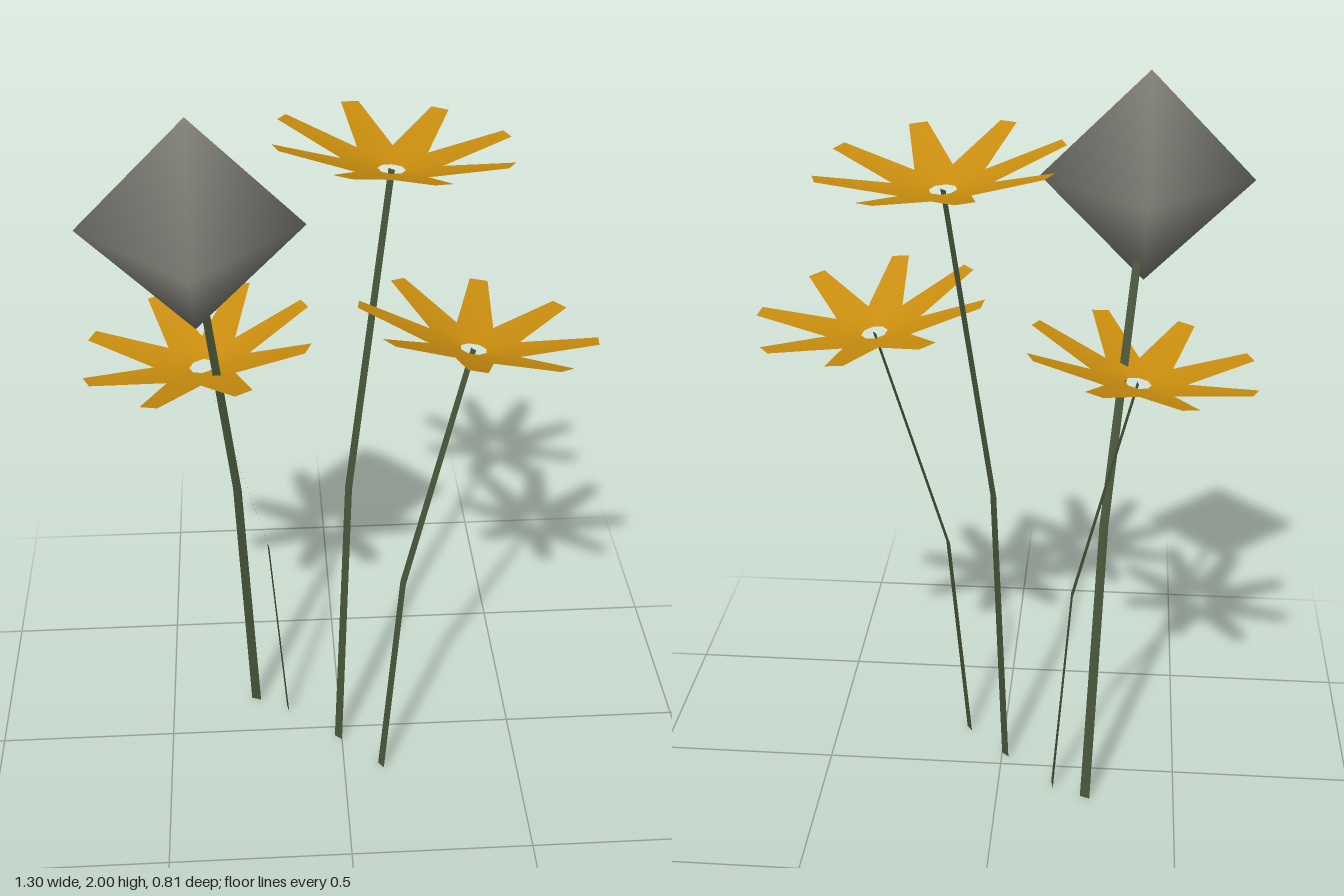
import * as THREE from 'three';
import { mergeVertices } from 'three/addons/utils/BufferGeometryUtils.js';

const petalMaterial = new THREE.MeshStandardMaterial({ name: 'petalGold', color: 0xc98d0e, side: THREE.DoubleSide });
const stemMaterial = new THREE.MeshStandardMaterial({ name: 'stemGreen', color: 0x465438, side: THREE.DoubleSide });
const budMaterial = new THREE.MeshStandardMaterial({ name: 'budGrey', color: 0x82827a });

function buildSurface(points, index) {
  const g = new THREE.BufferGeometry();
  g.setAttribute('position', new THREE.Float32BufferAttribute(points, 3));
  g.setIndex(index);
  g.computeVertexNormals();
  return g;
}

// Open ring with eight tapering petals, rising towards the tips
function flowerGeometry() {
  const n = 8, step = (Math.PI * 2) / n;
  const hole = 0.035, notch = 0.125, tip = 0.305, half = 0.024;
  const points = [], index = [];
  for (let i = 0; i < n; i++) {
    const a = i * step, b = a - step / 2;
    const c = Math.cos(a), s = Math.sin(a);
    points.push(Math.cos(b) * hole, 0, Math.sin(b) * hole);
    points.push(Math.cos(b) * notch, 0.018, Math.sin(b) * notch);
    points.push(c * tip + s * half, 0.073, s * tip - c * half);
    points.push(c * tip - s * half, 0.073, s * tip + c * half);
    const k = i * 4, m = ((i + 1) % n) * 4;
    index.push(k, m, k + 1, m, m + 1, k + 1);
    index.push(k + 1, m + 1, k + 2, m + 1, k + 3, k + 2);
  }
  return buildSurface(points, index);
}

// Flat ribbon through base, bend and top; (wx, wz) is its full width at the base
function stemGeometry(path, wx, wz) {
  const points = [], index = [];
  path.forEach(([x, y, z], i) => {
    const w = 0.5 * (1 - 0.13 * i);
    points.push(x - wx * w, y, z - wz * w, x + wx * w, y, z + wz * w);
    if (i) {
      const k = i * 2;
      index.push(k - 2, k - 1, k, k - 1, k + 1, k);
    }
  });
  return buildSurface(points, index);
}

// Eight-sided bud with soft shading
function budGeometry() {
  const g = new THREE.OctahedronGeometry(0.271);
  g.deleteAttribute('normal');
  g.deleteAttribute('uv');
  const merged = mergeVertices(g);
  merged.computeVertexNormals();
  return merged;
}

export function createModel() {
  const model = new THREE.Group();
  model.name = 'flowers';
  const add = (parent, name, geometry, material) => {
    const mesh = new THREE.Mesh(geometry, material);
    mesh.name = name;
    parent.add(mesh);
    return mesh;
  };

  // Flowers: stem path, ribbon width, petal turn and head slopes along x and z
  const flowers = [
    { name: 'tallFlower', path: [[-0.01, 0, 0.045], [0.02, 0.88, 0.005], [0.13, 1.757, -0.1]], w: [0.02, 0.018], turn: -17, slope: [-0.07, 0.07] },
    { name: 'leftFlower', path: [[0.107, 0, 0.167], [0.16, 0.655, 0.14], [0.333, 1.325, 0.045]], w: [0.015, 0.02], turn: 8, slope: [-0.14, 0.11] },
    { name: 'rightFlower', path: [[-0.155, 0, -0.087], [-0.2, 0.63, -0.08], [-0.355, 1.245, -0.047]], w: [0.006, 0.03], turn: 22.5, slope: [0.14, 0] },
  ];
  const head = flowerGeometry();
  for (const { name, path, w, turn, slope } of flowers) {
    const flower = new THREE.Group();
    flower.name = name;
    add(flower, 'stem', stemGeometry(path, ...w), stemMaterial);
    const tilt = new THREE.Group();
    tilt.name = 'flowerHead';
    tilt.position.set(...path[2]);
    tilt.rotation.set(-Math.atan(slope[1]), 0, Math.atan(slope[0]));
    add(tilt, 'petals', head, petalMaterial).rotation.y = -THREE.MathUtils.degToRad(turn);
    flower.add(tilt);
    model.add(flower);
  }

  // Closed bud on its own stem
  const budFlower = new THREE.Group();
  budFlower.name = 'buddingFlower';
  const budPath = [[-0.25, 0, -0.137], [-0.28, 0.84, -0.063], [-0.36, 1.729, 0.135]];
  add(budFlower, 'stem', stemGeometry(budPath, 0.027, 0.01), stemMaterial);
  add(budFlower, 'bud', budGeometry(), budMaterial).position.set(...budPath[2]);
  model.add(budFlower);
  return model;
}
